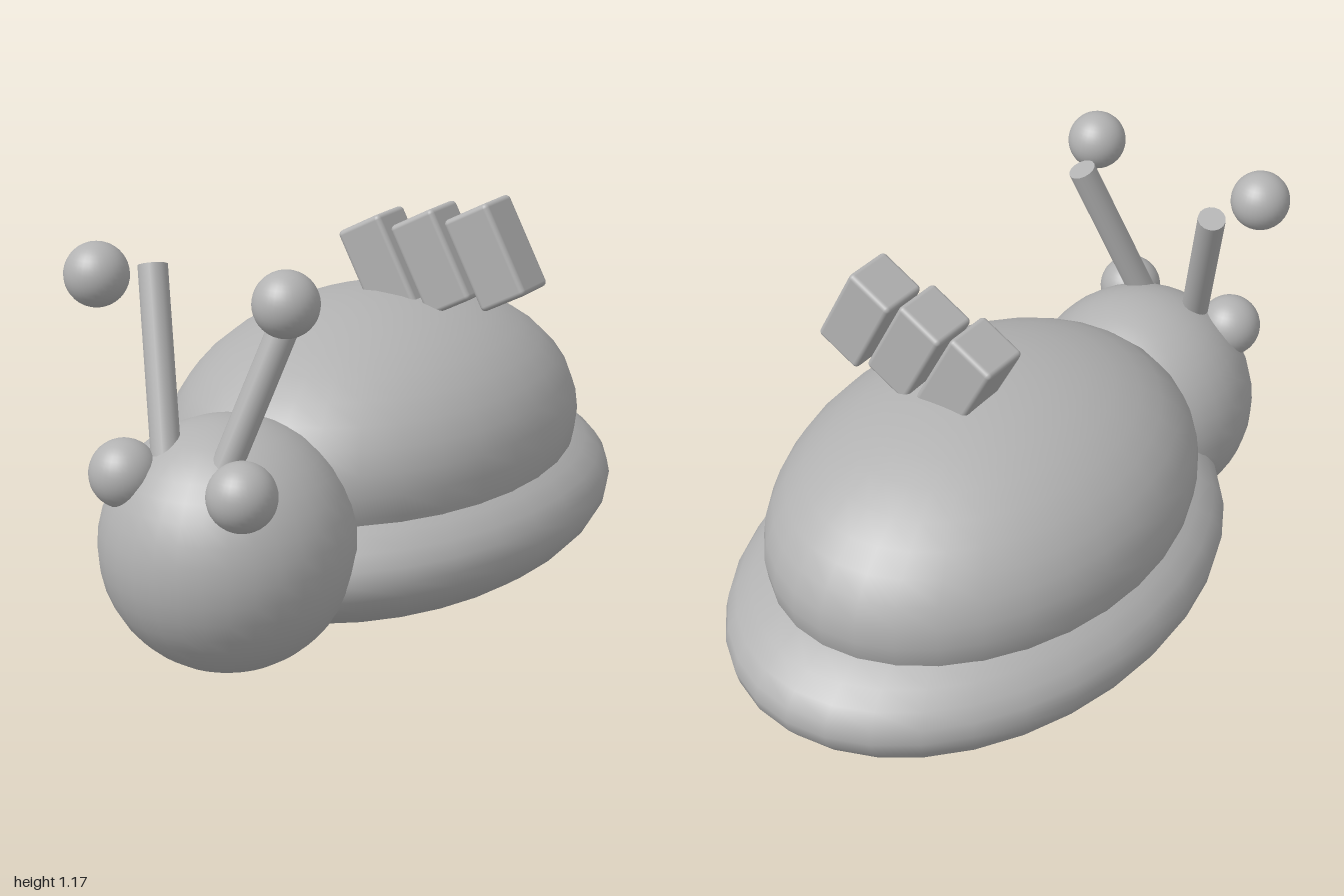
import * as THREE from 'three';
import { RoundedBoxGeometry } from 'three/addons/geometries/RoundedBoxGeometry.js';

export function createModel() {
  const model = new THREE.Group();
  model.name = 'snail';

  const grey = new THREE.MeshStandardMaterial({ color: 0xb2b2b2 });
  grey.name = 'plain grey';

  const add = (name, geometry, x, y, z) => {
    const mesh = new THREE.Mesh(geometry, grey);
    mesh.name = name;
    mesh.position.set(x, y, z);
    model.add(mesh);
    return mesh;
  };

  // Ellipsoid with baked radii
  const ellipsoid = (name, [rx, ry, rz], [x, y, z]) =>
    add(name, new THREE.SphereGeometry(1, 32, 20).scale(rx, ry, rz), x, y, z);

  // Round rod between two points
  const up = new THREE.Vector3(0, 1, 0);
  const rod = (name, a, b, radius) => {
    const dir = b.clone().sub(a);
    const mid = a.clone().add(b).multiplyScalar(0.5);
    const mesh = add(name, new THREE.CylinderGeometry(radius, radius, dir.length(), 16), mid.x, mid.y, mid.z);
    mesh.quaternion.setFromUnitVectors(up, dir.normalize());
  };

  // Flat body, domed shell and round head
  ellipsoid('body', [0.615, 0.262, 0.857], [0, 0.265, -0.143]);
  ellipsoid('shell', [0.537, 0.385, 0.725], [0, 0.48, -0.12]);
  ellipsoid('head', [0.343, 0.343, 0.343], [0, 0.36, 0.655]);

  // Eyes, feeler stalks and the loose knobs in front of their tips
  for (const [side, s] of [['left', 1], ['right', -1]]) {
    ellipsoid(side + 'Eye', [0.092, 0.092, 0.092], [s * 0.181, 0.582, 0.86]);
    rod(side + 'Stalk', new THREE.Vector3(s * 0.085, 0.6, 0.805),
      new THREE.Vector3(s * 0.225, 1.082, 0.648), 0.04);
    ellipsoid(side + 'Knob', [0.085, 0.085, 0.085], [s * 0.285, 1.085, 0.81]);
  }

  // Row of three tilted blocks on top of the shell
  for (let i = 0; i < 3; i++) {
    const block = add('shellBlock' + (i + 1), new RoundedBoxGeometry(0.15, 0.275, 0.15, 3, 0.014),
      -0.002 + i * 0.17, 0.93 + i * 0.036, -0.195);
    block.rotation.z = 0.48;
  }

  return model;
}
